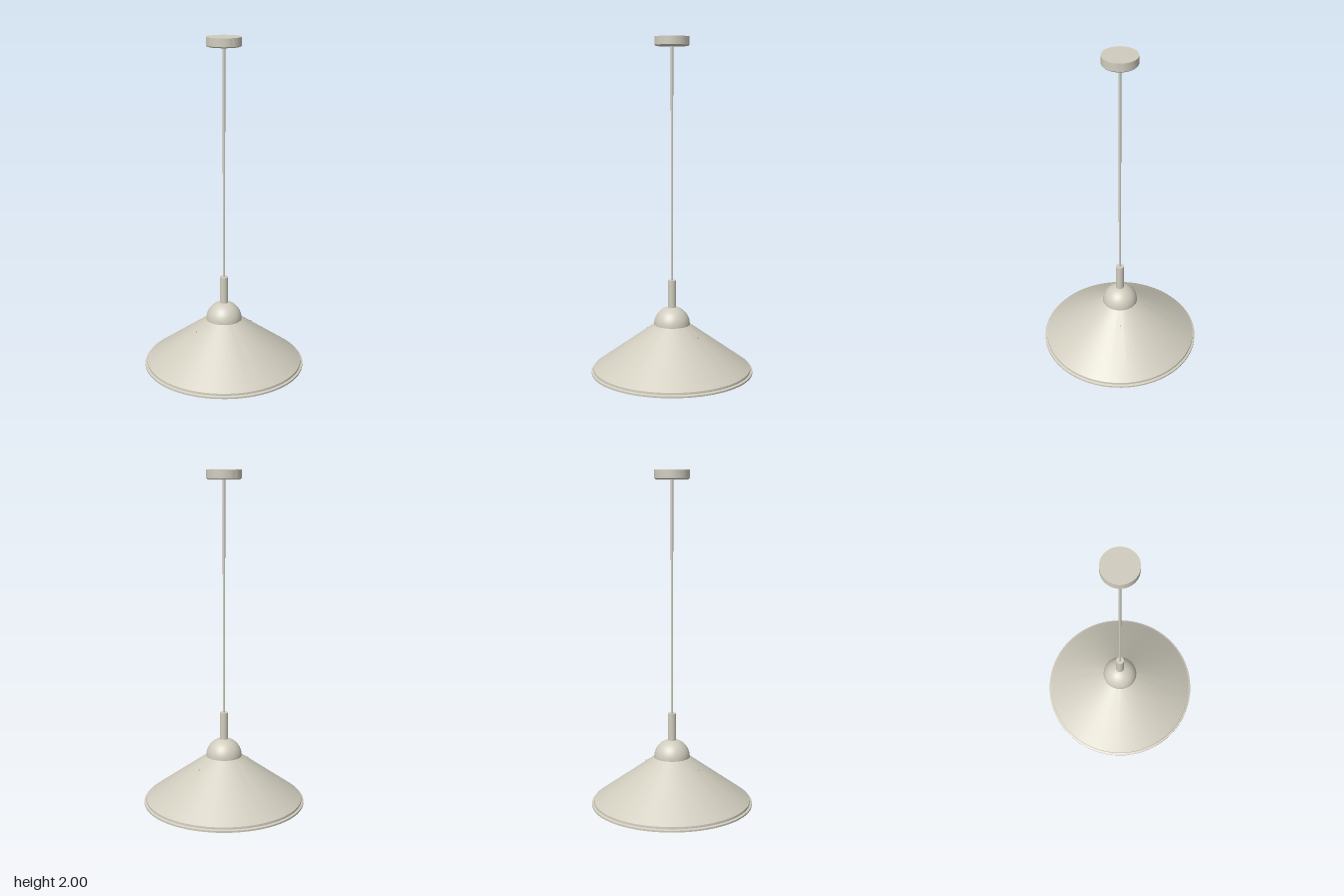
import * as THREE from 'three';
import { toCreasedNormals } from 'three/addons/utils/BufferGeometryUtils.js';

export function createModel() {
  const lamp = new THREE.Group();
  lamp.name = 'pendantLamp';
  const enamel = new THREE.MeshStandardMaterial({ color: 0xd0ccbe, side: THREE.DoubleSide });
  enamel.name = 'warm grey enamel';

  const add = (name, geometry, y = 0) => {
    const mesh = new THREE.Mesh(geometry, enamel);
    mesh.name = name;
    mesh.position.y = y;
    lamp.add(mesh);
    return mesh;
  };
  // Turned part from [radius, height] points, bottom to top
  const turned = (points, segments = 64) => toCreasedNormals(
    new THREE.LatheGeometry(points.map(([r, y]) => new THREE.Vector2(r, y)), segments), 0.5);
  const rod = (radius, bottom, top, name) =>
    add(name, new THREE.CylinderGeometry(radius, radius, top - bottom, 32), (top + bottom) / 2);

  // Ceiling mount with a softened lower edge
  add('ceilingCanopy', turned([[0, 1.948], [0.092, 1.948], [0.098, 1.954], [0.098, 2], [0, 2]]));

  // Hanging cord and its sleeve
  rod(0.007, 0.61, 1.95, 'cord');
  rod(0.024, 0.44, 0.62, 'cordSleeve');

  // Half-round cap above the shade
  add('domeCap', new THREE.SphereGeometry(0.104, 64, 24, 0, Math.PI * 2, 0, Math.PI / 2), 0.36);

  // Thin conical shade with a stepped rim, outside then inside
  add('shade', turned([
    [0.1, 0.36], [0.104, 0.36], [0.456, 0.106], [0.457, 0.094],
    [0.469, 0.09], [0.469, 0.08], [0.462, 0.08], [0.453, 0.09], [0.45, 0.103], [0.1, 0.355], [0.1, 0.36],
  ], 72));

  // Bulb holder and round bulb
  rod(0.035, 0.19, 0.4, 'bulbHolder');
  add('bulb', new THREE.SphereGeometry(0.088, 48, 32), 0.128);

  // U-shaped wire guard below the bulb, its ends just piercing the shade
  const r = 0.18, cy = 0.184, end = 0.31;
  const points = [new THREE.Vector3(-r, end, 0), new THREE.Vector3(-r, 0.25, 0)];
  for (let i = 0; i <= 16; i++) {
    const a = Math.PI * (1 + i / 16);
    points.push(new THREE.Vector3(r * Math.cos(a), cy + r * Math.sin(a), 0));
  }
  points.push(new THREE.Vector3(r, 0.25, 0), new THREE.Vector3(r, end, 0));
  add('wireGuard', new THREE.TubeGeometry(new THREE.CatmullRomCurve3(points), 80, 0.004, 10));

  return lamp;
}
